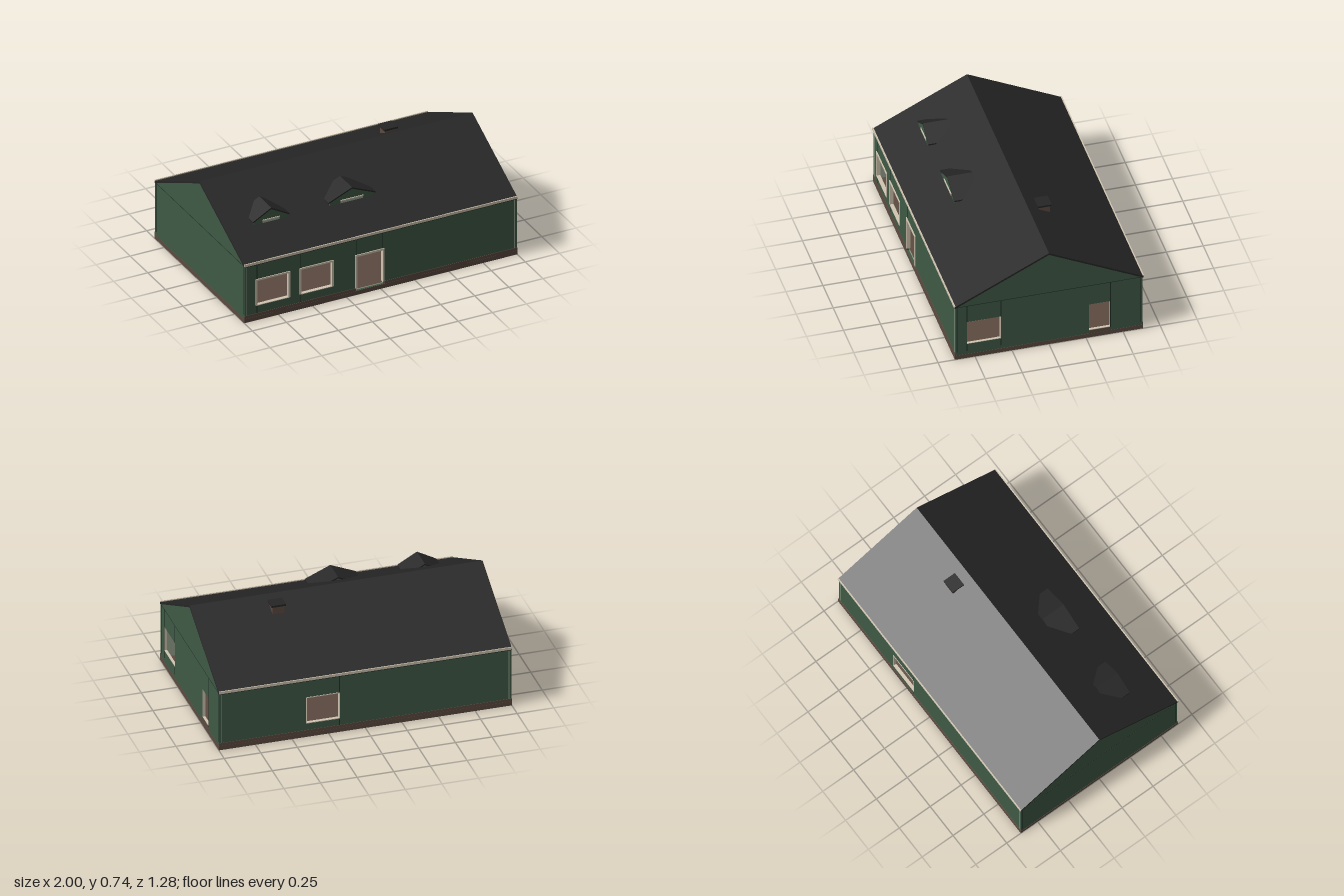
import * as THREE from 'three';

const mat = (name, color) => {
  const m = new THREE.MeshStandardMaterial({ color });
  m.name = name;
  return m;
};

export function createModel() {
  const house = new THREE.Group();
  house.name = 'house';
  const green = mat('green wall', 0x405a46);
  const plaster = mat('pale interior plaster', 0x98a590);
  const dark = mat('dark roofing', 0x262626);
  const brown = mat('brown masonry', 0x5c4a40);
  const trim = mat('cream trim', 0xd2c6b2);
  const seamDark = mat('dark green seam', 0x1f3026);

  const add = (parent, name, geo, material) => {
    const m = new THREE.Mesh(geo, material);
    m.name = name;
    parent.add(m);
    return m;
  };
  // Box given by its minimum and maximum corners
  const box = (parent, name, material, x0, x1, y0, y1, z0, z1) =>
    add(parent, name, new THREE.BoxGeometry(x1 - x0, y1 - y0, z1 - z0)
      .translate((x0 + x1) / 2, (y0 + y1) / 2, (z0 + z1) / 2), material);
  const polygon = pts => new THREE.Shape(pts.map(p => new THREE.Vector2(p[0], p[1])));
  const extrude = (shape, depth) => new THREE.ExtrudeGeometry(shape, { depth, bevelEnabled: false });
  const rect = ([a, b, c, d]) => [[a, c], [b, c], [b, d], [a, d]];

  // Wall drawn in its own plane, outside facing local +z, with a plaster lining.
  // Openings are [u0, u1, y0, y1].
  function wall(name, outline, openings, distance, angle) {
    const g = new THREE.Group();
    g.name = name;
    const shape = polygon(outline);
    openings.forEach(o => shape.holes.push(new THREE.Path(rect(o).reverse().map(p => new THREE.Vector2(...p)))));
    add(g, 'outerWall', extrude(shape, 0.014).translate(0, 0, distance - 0.014), green);
    add(g, 'innerLining', extrude(shape, 0.006).translate(0, 0, distance - 0.02), plaster);
    g.rotation.y = angle;
    house.add(g);
    return g;
  }
  // Trim strips around an opening; w grows the frame outwards over the wall
  function frame(g, [a, b, c, d], w, z0, z1, sill) {
    box(g, 'frameSide', trim, a - w / 2, a + w / 2, c, d, z0, z1);
    box(g, 'frameSide', trim, b - w / 2, b + w / 2, c, d, z0, z1);
    box(g, 'frameTop', trim, a - w / 2, b + w / 2, d - w / 2, d + w / 2, z0, z1);
    if (sill) box(g, 'frameSill', trim, a, b, c - 0.002, c + 0.003, z0, z1);
  }
  const seam = (g, u, y0, y1, z) => box(g, 'panelSeam', seamDark, u - 0.003, u + 0.003, y0, y1, z, z + 0.001);

  // Foundation and floor
  box(house, 'foundation', brown, -1, 1, 0, 0.03, -0.636, 0.636);

  // Long walls
  const D = 0.632, EAVE = 0.414;
  const longOutline = rect([-0.98, 0.98, 0.03, EAVE]);
  const frontWindows = [[-0.91, -0.67, 0.11, 0.298], [-0.587, -0.352, 0.11, 0.298]];
  const frontDoor = [-0.18, 0.02, 0.031, 0.29];
  const front = wall('frontWall', longOutline, [...frontWindows, frontDoor], D, 0);
  frontWindows.forEach(o => frame(front, o, 0.012, D - 0.02, D + 0.006, true));
  frame(front, [-0.18, 0.02, 0.05, 0.29], 0.014, D - 0.02, D + 0.006, false);
  [-0.905, -0.585, -0.175, 0.015].forEach(u => seam(front, u, 0.3, EAVE, D));
  [-0.905, -0.585].forEach(u => seam(front, u, 0.05, 0.108, D));
  [[-1, -0.187], [0.027, 1]].forEach(([a, b]) => box(front, 'plinth', brown, a, b, 0.03, 0.05, D, D + 0.003));

  const backWindow = [-0.4, -0.175, 0.1, 0.29];
  const back = wall('backWall', longOutline, [backWindow], D, Math.PI);
  frame(back, backWindow, 0.006, D - 0.02, D + 0.003, true);
  seam(back, -0.175, 0.05, 0.1, D);
  seam(back, -0.175, 0.29, EAVE, D);
  box(back, 'plinth', brown, -1, 1, 0.03, 0.05, D, D + 0.003);

  // Gable walls
  const gableOutline = [[-D, 0.03], [D, 0.03], [D, EAVE], [0, 0.728], [-D, EAVE]];
  const sideWindow = [-0.555, -0.325, 0.11, 0.29];
  const sideDoor = [0.27, 0.415, 0.055, 0.265];
  const leftGable = wall('leftGable', gableOutline, [sideWindow, sideDoor], 0.998, Math.PI / 2);
  [sideWindow, sideDoor].forEach(o => frame(leftGable, o, 0.004, 0.978, 0.996, true));
  [-0.555, -0.325].forEach(u => {
    seam(leftGable, u, 0.055, 0.11, 0.998);
    seam(leftGable, u, 0.29, 0.42, 0.998);
  });
  seam(leftGable, 0.415, 0.055, 0.42, 0.998);
  box(leftGable, 'threshold', brown, 0.27, 0.415, 0.03, 0.055, 0.997, 0.9995);
  const rightGable = wall('rightGable', gableOutline, [], 0.998, -Math.PI / 2);
  [leftGable, rightGable].forEach(g => {
    box(g, 'gableSeam', seamDark, -D, D, 0.418, 0.422, 0.998, 0.999);
    [-0.62, 0.62].forEach(u => seam(g, u, 0.055, 0.42, 0.998));
  });

  // Main roof with eave boards
  const roofProfile = polygon([[-0.638, 0.413], [0, 0.728], [0.638, 0.413], [0.638, 0.427], [0, 0.742], [-0.638, 0.427]]);
  add(house, 'mainRoof', extrude(roofProfile, 2).translate(0, 0, -1).rotateY(Math.PI / 2), dark);
  [-1, 1].forEach(s => box(house, 'eaveBoard', trim, -1, 1, 0.418, 0.436, s > 0 ? 0.633 : -0.64, s > 0 ? 0.64 : -0.633));

  // Dormers
  function dormer(cx, half, winHalf) {
    const g = new THREE.Group();
    g.name = 'dormer';
    g.position.x = cx;
    const wallShape = polygon([[-half * 0.92, 0.54], [half * 0.92, 0.54], [half * 0.92, 0.578], [0, 0.645], [-half * 0.92, 0.578]]);
    add(g, 'dormerWall', extrude(wallShape, 0.15).translate(0, 0, 0.233), green);
    const roofShape = polygon([[-half, 0.572], [0, 0.645], [half, 0.572], [half, 0.582], [0, 0.656], [-half, 0.582]]);
    add(g, 'dormerRoof', extrude(roofShape, 0.17).translate(0, 0, 0.218), dark);
    box(g, 'dormerWindow', plaster, -winHalf, winHalf, 0.555, 0.57, 0.383, 0.385);
    box(g, 'dormerLintel', trim, -winHalf, winHalf, 0.57, 0.578, 0.383, 0.388);
    house.add(g);
  }
  dormer(-0.675, 0.133, 0.063);
  dormer(-0.083, 0.173, 0.083);

  // Chimney
  box(house, 'chimney', brown, 0.4, 0.48, 0.62, 0.724, -0.15, -0.077);
  box(house, 'chimneyCap', dark, 0.39, 0.49, 0.722, 0.735, -0.159, -0.068);

  return house;
}
